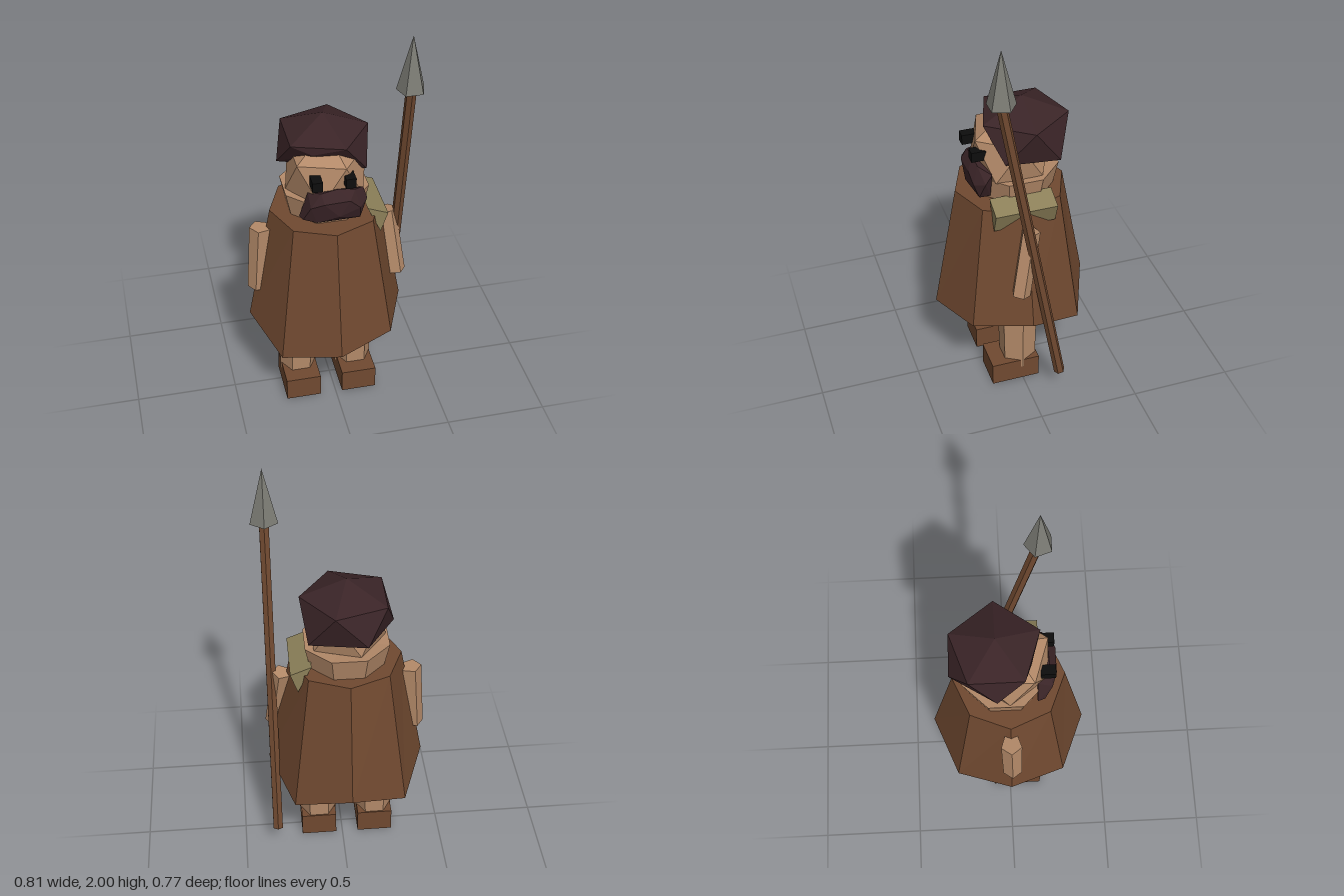
import * as THREE from 'three';
import { ConvexGeometry } from 'three/addons/geometries/ConvexGeometry.js';

const V = (x, y, z) => new THREE.Vector3(x, y, z);

function paint(name, color) {
  const m = new THREE.MeshStandardMaterial({ color, flatShading: true });
  m.name = name;
  return m;
}

// Closed solid from stacked rings (bottom to top), each end capped by a fan
function loft(rings, bottomCentre, topCentre) {
  const n = rings[0].length;
  const pos = [...rings.flat(), bottomCentre, topCentre].flatMap(p => [p.x, p.y, p.z]);
  const bottom = rings.length * n, top = bottom + 1, last = bottom - n;
  const idx = [];
  for (let i = 0; i < n; i++) {
    const j = (i + 1) % n;
    for (let r = 0; r < rings.length - 1; r++) {
      const a = r * n, b = a + n;
      idx.push(a + i, b + i, a + j, b + i, b + j, a + j);
    }
    idx.push(bottom, i, j, top, last + j, last + i);
  }
  const g = new THREE.BufferGeometry();
  g.setAttribute('position', new THREE.Float32BufferAttribute(pos, 3));
  g.setIndex(idx);
  const flat = g.toNonIndexed();
  flat.computeVertexNormals();
  return flat;
}

// Horizontal ring of n points; heights may vary per point
function ring(n, r, heights, cx, cz, start = 0) {
  return Array.from({ length: n }, (_, i) => {
    const a = start + (i / n) * Math.PI * 2;
    const y = Array.isArray(heights) ? heights[i] : heights;
    return V(cx + r * Math.cos(a), y, cz + r * Math.sin(a));
  });
}

export function createModel() {
  const model = new THREE.Group();
  model.name = 'spearman';
  const skin = paint('skin', 0xb48a69);
  const brown = paint('brown', 0x704930);
  const hair = paint('dark cloth', 0x3a2427);
  const steel = paint('steel', 0x7b7b74);
  const olive = paint('olive', 0x8c8059);
  const black = paint('black', 0x0d0d0d);

  const add = (name, geometry, material, x = 0, y = 0, z = 0) => {
    const m = new THREE.Mesh(geometry, material);
    m.name = name;
    m.position.set(x, y, z);
    model.add(m);
    return m;
  };

  // Tapered rod from point a (bottom) to point b (top)
  const rod = (name, a, b, ra, rb, sides, spin, material) => {
    const g = new THREE.CylinderGeometry(rb, ra, a.distanceTo(b), sides);
    g.rotateY(spin);
    const mid = a.clone().add(b).multiplyScalar(0.5);
    const m = add(name, g, material, mid.x, mid.y, mid.z);
    m.quaternion.setFromUnitVectors(V(0, 1, 0), b.clone().sub(a).normalize());
    return m;
  };

  // Boots and legs
  for (const [side, x] of [['right', -0.167], ['left', 0.12]]) {
    add(side + 'Boot', new THREE.BoxGeometry(0.175, 0.12, 0.245), brown, x, 0.06, 0.038);
    const lean = x < 0 ? 0.012 : -0.006;
    rod(side + 'Leg', V(x, 0.075, 0.003), V(x + lean, 0.62, 0.003), 0.092, 0.104, 6, Math.PI / 2, skin);
  }

  // Cloak with an uneven hem
  const hem = ring(8, 0.383, [0.48, 0.46, 0.437, 0.387, 0.475, 0.38, 0.475, 0.38], -0.022, 0);
  const shoulders = ring(8, 0.268, 1.08, -0.022, 0);
  add('cloak', loft([hem, shoulders], V(-0.022, 0.46, 0), V(-0.022, 1.08, 0)), brown);

  // Collar
  const collarLow = ring(8, 0.18, 1.04, -0.022, -0.02, Math.PI / 8);
  const collarHigh = ring(8, 0.215, 1.195, -0.022, -0.02, Math.PI / 8);
  add('collar', loft([collarLow, collarHigh], V(-0.022, 1.04, -0.02), V(-0.022, 1.17, -0.02)), skin);

  // Head: two staggered five-point rings between poles
  const fifth = Math.PI / 5;
  add('head', new ConvexGeometry([
    V(-0.02, 1.49, 0), V(-0.02, 1.07, 0),
    ...ring(5, 0.192, 1.38, -0.02, 0),
    ...ring(5, 0.192, 1.19, -0.02, 0, fifth),
  ]), skin);

  // Cap: same build, pushed back, with one front corner lifted off the brow
  add('cap', new ConvexGeometry([
    V(-0.02, 1.545, -0.06), V(-0.02, 1.3, -0.07),
    ...ring(5, 0.217, 1.46, -0.02, -0.06),
    V(0.16, 1.3, 0.075), V(-0.1, 1.42, 0.1), V(-0.24, 1.31, -0.06),
    V(-0.1, 1.31, -0.277), V(0.165, 1.28, -0.19),
  ]), hair);

  // Beard: wide faceted lump on the front of the face
  const beard = [
    [-0.172, 1.12, 0.13], [-0.13, 1.245, 0.13], [0.13, 1.24, 0.13], [0.1, 1.105, 0.13],
    [-0.16, 1.12, 0.165], [-0.08, 1.268, 0.19], [0, 1.28, 0.185], [0.08, 1.268, 0.185],
    [0.142, 1.2, 0.165], [0.105, 1.11, 0.185], [-0.1, 1.11, 0.19],
    [-0.13, 1.2, 0.2], [-0.07, 1.225, 0.221], [0.05, 1.23, 0.221], [0.1, 1.18, 0.21], [0, 1.15, 0.221],
  ];
  add('beard', new ConvexGeometry(beard.map(p => V(...p))), hair);

  // Eyes
  for (const [side, x] of [['right', -0.1], ['left', 0.055]]) {
    add(side + 'Eye', new THREE.BoxGeometry(0.048, 0.05, 0.07), black, x, 1.318, 0.177);
  }

  // Arms
  rod('rightArm', V(-0.362, 0.645, 0.005), V(-0.337, 0.99, 0), 0.048, 0.052, 5, -Math.PI / 2, skin);
  rod('leftArm', V(0.325, 0.665, 0.055), V(0.285, 1.0, -0.005), 0.046, 0.046, 5, Math.PI / 2, skin);

  // Three-sided shoulder pad running front to back
  const pad = new THREE.Shape([[0.15, 1.125], [0.215, 0.985], [0.25, 1.085]].map(p => new THREE.Vector2(...p)));
  add('shoulderPad', new THREE.ExtrudeGeometry(pad, { depth: 0.3, bevelEnabled: false }), olive, 0, 0, -0.15);

  // Spear
  rod('spearShaft', V(0.335, 0.122, -0.148), V(0.335, 1.75, 0.152), 0.027, 0.025, 6, 0, brown);
  const tip = new THREE.ConeGeometry(0.068, 0.265, 5);
  tip.rotateY(Math.PI);
  add('spearHead', tip, steel, 0.335, 1.8675, 0.15);

  return model;
}
